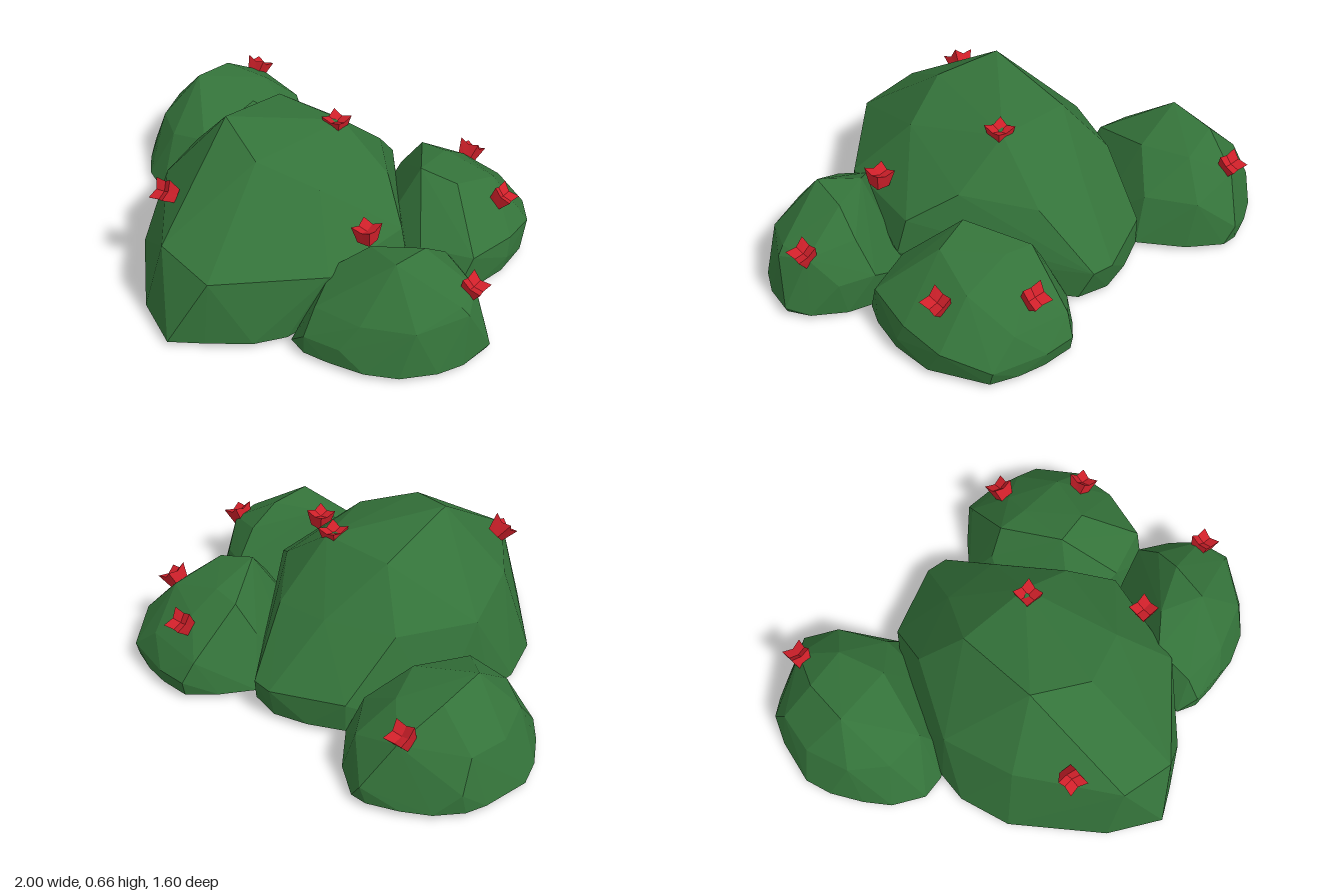
import * as THREE from 'three';
import { ConvexGeometry } from 'three/addons/geometries/ConvexGeometry.js';

const leaf = new THREE.MeshStandardMaterial({ color: 0x34733a, flatShading: true });
const petal = new THREE.MeshStandardMaterial({ color: 0xd0202a, flatShading: true, side: THREE.DoubleSide });

// Each bush is a faceted hull: a footprint of [x, z] corners plus crown points [x, y, z].
function bush(name, footprint, crown) {
  const points = footprint.map(([x, z]) => new THREE.Vector3(x, 0.02, z));
  crown.forEach(p => points.push(new THREE.Vector3(...p)));
  const mesh = new THREE.Mesh(new ConvexGeometry(points), leaf);
  mesh.name = name;
  return mesh;
}

// Square flared cup with four raised corners and a sunken centre.
function flowerGeometry() {
  const pos = [];
  const tri = (...corners) => corners.forEach(c => pos.push(...c));
  const centre = [0, 0.03, 0];
  const ring = (i, corner, mid, yCorner, yMid) => {
    const a = i * Math.PI / 4 + Math.PI / 4;
    const r = i % 2 ? mid : corner * Math.SQRT2;
    return [Math.cos(a) * r, i % 2 ? yMid : yCorner, Math.sin(a) * r];
  };
  for (let i = 0; i < 8; i++) {
    const b0 = ring(i, 0.028, 0.028, -0.015, -0.015), b1 = ring(i + 1, 0.028, 0.028, -0.015, -0.015);
    const t0 = ring(i, 0.043, 0.038, 0.058, 0.042), t1 = ring(i + 1, 0.043, 0.038, 0.058, 0.042);
    tri(b0, t0, t1);
    tri(b0, t1, b1);
    tri(centre, t1, t0);
    tri([0, -0.015, 0], b0, b1);
  }
  const g = new THREE.BufferGeometry();
  g.setAttribute('position', new THREE.Float32BufferAttribute(pos, 3));
  g.computeVertexNormals();
  return g;
}

export function createModel() {
  const model = new THREE.Group();
  model.name = 'floweringBushes';

  model.add(bush('mainBush',
    [[-0.03, -0.64], [0.1, -0.61], [0.36, -0.28], [0.48, -0.06], [0.4, 0.3], [0.35, 0.5], [0.27, 0.61],
      [0.12, 0.72], [0, 0.8], [-0.21, 0.69], [-0.49, 0.39], [-0.565, 0.18], [-0.56, 0.05], [-0.5, -0.2],
      [-0.44, -0.34], [-0.31, -0.53], [-0.17, -0.6]],
    [[-0.19, 0.66, 0.19], [0.04, 0.595, 0.29], [0.11, 0.57, -0.18], [-0.21, 0.57, -0.18], [0.27, 0.505, 0.19],
      [0.44, 0.27, 0.36], [0.12, 0.29, 0.69], [-0.12, 0.35, 0.67], [-0.5, 0.33, 0.02], [-0.4, 0.38, 0.32],
      [0.5, 0.28, -0.05], [0.34, 0.4, -0.18], [0.14, 0.36, -0.42], [-0.1, 0.38, -0.42], [-0.36, 0.36, -0.3],
      [-0.03, 0.14, -0.66], [0.06, 0.14, -0.65], [0.54, 0.14, -0.04], [-0.31, 0.14, -0.53]]));

  model.add(bush('backLeftBush',
    [[0.13, -0.58], [0.22, -0.7], [0.32, -0.79], [0.45, -0.79], [0.56, -0.77], [0.67, -0.73], [0.79, -0.52],
      [0.8, -0.35], [0.77, -0.2], [0.73, -0.11], [0.6, -0.08], [0.3, -0.1], [0.15, -0.35]],
    [[0.42, 0.395, -0.3], [0.57, 0.36, -0.34], [0.4, 0.355, -0.52], [0.28, 0.34, -0.53], [0.62, 0.3, -0.55],
      [0.42, 0.28, -0.64], [0.55, 0.18, -0.73], [0.3, 0.16, -0.75], [0.8, 0.16, -0.4], [0.78, 0.13, -0.58],
      [0.76, 0.17, -0.18], [0.32, 0.08, -0.8], [0.45, 0.08, -0.8], [0.67, 0.08, -0.745], [0.81, 0.08, -0.37],
      [0.56, 0.18, -0.1], [0.2, 0.22, -0.5]]));

  model.add(bush('frontLeftBush',
    [[0.71, -0.11], [0.82, -0.08], [0.94, 0], [0.99, 0.08], [0.97, 0.22], [0.92, 0.32], [0.82, 0.43],
      [0.7, 0.49], [0.55, 0.52], [0.45, 0.53], [0.37, 0.5], [0.34, 0.2], [0.48, -0.04]],
    [[0.68, 0.395, 0.27], [0.7, 0.375, 0.1], [0.52, 0.36, 0.2], [0.92, 0.25, 0.18], [0.9, 0.25, 0.05],
      [0.72, 0.29, -0.02], [0.71, 0.17, -0.12], [0.84, 0.15, -0.06], [0.45, 0.2, 0.46], [0.65, 0.2, 0.45],
      [0.84, 0.2, 0.36], [0.45, 0.1, 0.53], [0.6, 0.1, 0.51], [0.95, 0.22, 0.17], [1, 0.04, 0.08],
      [0.42, 0.28, 0.3]]));

  model.add(bush('backRightBush',
    [[-0.31, -0.53], [-0.44, -0.69], [-0.57, -0.78], [-0.64, -0.78], [-0.76, -0.73], [-0.86, -0.67],
      [-0.94, -0.58], [-0.97, -0.5], [-1, -0.31], [-0.96, -0.2], [-0.88, -0.08], [-0.8, 0.01], [-0.67, 0.075],
      [-0.45, -0.02], [-0.33, -0.3]],
    [[-0.76, 0.395, -0.3], [-0.76, 0.365, -0.5], [-0.5, 0.33, -0.36], [-0.58, 0.33, -0.55], [-0.93, 0.21, -0.35],
      [-0.91, 0.22, -0.52], [-0.7, 0.26, -0.68], [-0.5, 0.2, -0.68], [-0.72, 0.22, -0.07], [-0.55, 0.25, -0.08],
      [-0.86, 0.22, -0.17], [-0.57, 0, 0.05], [-0.38, 0.2, -0.5], [-0.62, 0.09, -0.79], [-0.93, 0.1, -0.59]]));

  // Flowers: [position, direction the bloom points]
  const blooms = [
    [[-0.71, 0.27, -0.65], [0.05, 0.85, -0.5]],
    [[0.42, 0.25, -0.68], [0.05, 0.75, -0.6]],
    [[0.69, 0.25, -0.48], [0.5, 0.8, -0.15]],
    [[0.1, 0.54, -0.15], [0.02, 1, -0.03]],
    [[0.89, 0.24, 0.07], [0.4, 0.9, -0.05]],
    [[0.47, 0.345, 0.15], [-0.1, 1, 0]],
    [[-0.24, 0.43, 0.48], [-0.3, 0.65, 0.65]]
  ];
  const geometry = flowerGeometry();
  const up = new THREE.Vector3(0, 1, 0);
  blooms.forEach(([at, dir], i) => {
    const flower = new THREE.Mesh(geometry, petal);
    flower.name = `flower${i + 1}`;
    flower.position.set(...at);
    flower.quaternion.setFromUnitVectors(up, new THREE.Vector3(...dir).normalize());
    model.add(flower);
  });
  return model;
}
